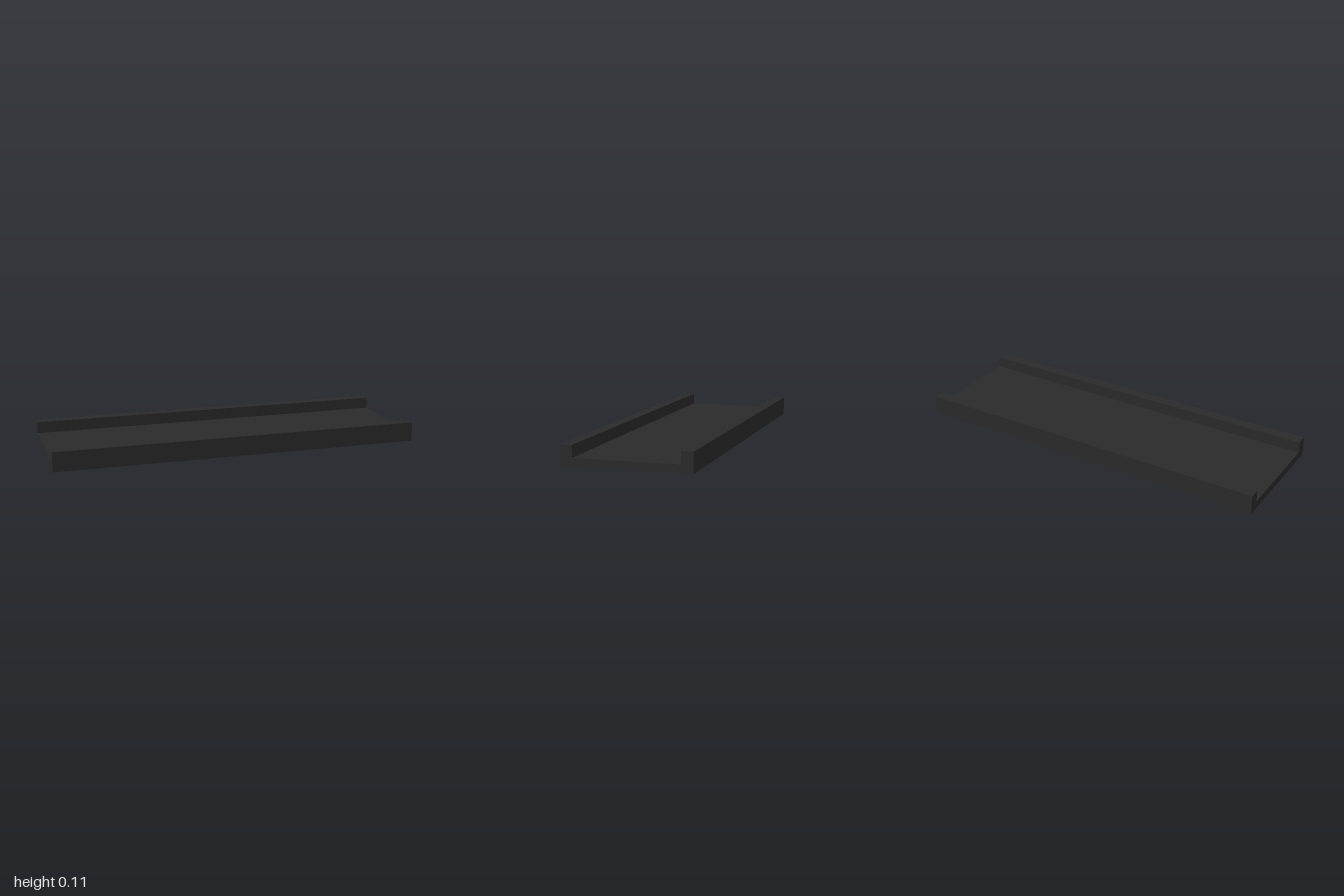
import * as THREE from 'three';

const LENGTH = 2;
const HALF_DEPTH = 0.333;
const INNER = 0.273;   // half the width between the side rails
const FLOOR = 0.043;   // floor thickness
const HEIGHT = 0.106;  // rail height

export function createModel() {
  const model = new THREE.Group();
  model.name = 'channelTray';

  // U-shaped cross-section: flat floor with an upright rail on each long edge
  const profile = new THREE.Shape([
    [-HALF_DEPTH, 0], [HALF_DEPTH, 0], [HALF_DEPTH, HEIGHT], [INNER, HEIGHT],
    [INNER, FLOOR], [-INNER, FLOOR], [-INNER, HEIGHT], [-HALF_DEPTH, HEIGHT],
  ].map(([z, y]) => new THREE.Vector2(z, y)));

  // Run the section along x
  const geometry = new THREE.ExtrudeGeometry(profile, { depth: LENGTH, bevelEnabled: false });
  geometry.translate(0, 0, -LENGTH / 2).rotateY(Math.PI / 2);

  const channel = new THREE.Mesh(geometry, new THREE.MeshStandardMaterial({ color: 0x2a2a2a }));
  channel.name = 'floorAndRails';
  model.add(channel);
  return model;
}
